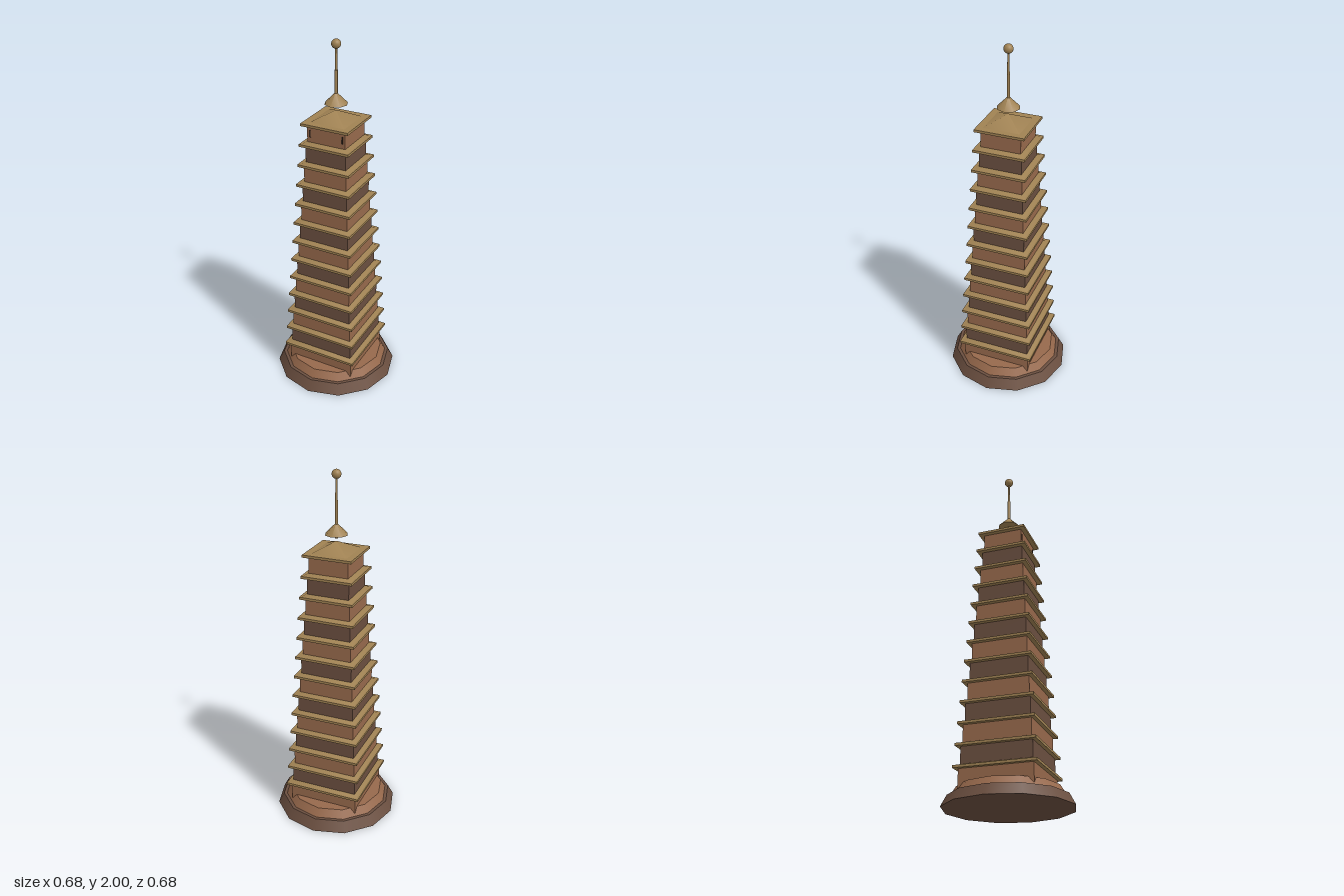
import * as THREE from 'three';

export function createModel() {
  const model = new THREE.Group();
  model.name = 'pagoda';
  const tower = new THREE.Group();
  tower.name = 'tower';
  tower.rotation.y = -0.236;
  model.add(tower);

  const mat = (color) => new THREE.MeshStandardMaterial({ color });
  const red = mat(0x97694c), dark = mat(0x6b4f40), tan = mat(0xa08253), black = mat(0x33241c);

  const add = (name, geometry, material, y) => {
    const mesh = new THREE.Mesh(geometry, material);
    mesh.name = name;
    mesh.position.y = y;
    tower.add(mesh);
    return mesh;
  };
  // round part standing between heights y0 and y1
  const drum = (name, r0, r1, y0, y1, sides, material) =>
    add(name, new THREE.CylinderGeometry(r1, r0, y1 - y0, sides), material, (y0 + y1) / 2);
  // square block of half-width h between heights y0 and y1
  const block = (name, h, y0, y1, material) =>
    add(name, new THREE.BoxGeometry(2 * h, y1 - y0, 2 * h), material, (y0 + y1) / 2);
  // sloping four-sided roof, half-width h0 at the bottom and h1 at the top
  const slope = (name, h0, h1, y0, y1) => {
    const geometry = new THREE.CylinderGeometry(h1 * Math.SQRT2, h0 * Math.SQRT2, y1 - y0, 4);
    geometry.rotateY(Math.PI / 4);
    return add(name, geometry, tan, (y0 + y1) / 2);
  };

  // twelve-sided plinth in two steps
  drum('lowerPlinth', 0.348, 0.316, 0, 0.06, 12, dark);
  drum('upperPlinth', 0.298, 0.27, 0.06, 0.105, 12, red);

  // thirteen shrinking storeys, each with a thin eave
  const storeys = 13;
  const eaveY = (i) => 0.183 + i * 0.1152;
  const wallHalf = (i) => THREE.MathUtils.lerp(0.199, 0.111, i / (storeys - 1));
  const eaveHalf = (i) => THREE.MathUtils.lerp(0.2215, 0.137, i / (storeys - 1));
  for (let i = 0; i < storeys; i++) {
    const y = eaveY(i);
    const floor = i === 0 ? 0.075 : eaveY(i - 1) + 0.006;
    block('storeyWall', wallHalf(i), floor, y - 0.006, i % 2 ? dark : red);
    block('eave', eaveHalf(i), y - 0.007, y + 0.007, tan);
    if (i < storeys - 1) slope('eaveSlope', eaveHalf(i) - 0.008, wallHalf(i + 1), y + 0.006, y + 0.017);
  }

  // narrow slots on the front of the top storey
  for (const side of [-1, 1]) {
    const slot = add('windowSlot', new THREE.BoxGeometry(0.008, 0.04, 0.006), black, 1.515);
    slot.position.x = side * 0.094;
    slot.position.z = wallHalf(storeys - 1);
  }

  // pyramid roof and finial
  slope('topRoof', 0.116, 0, 1.564, 1.625);
  drum('finialLowerPole', 0.009, 0.009, 1.64, 1.84, 8, tan);
  drum('finialUpperPole', 0.007, 0.006, 1.84, 1.96, 8, tan);
  drum('finialCone', 0.063, 0, 1.66, 1.725, 8, tan);
  add('finialBall', new THREE.SphereGeometry(0.025, 20, 14), tan, 1.975);

  return model;
}
